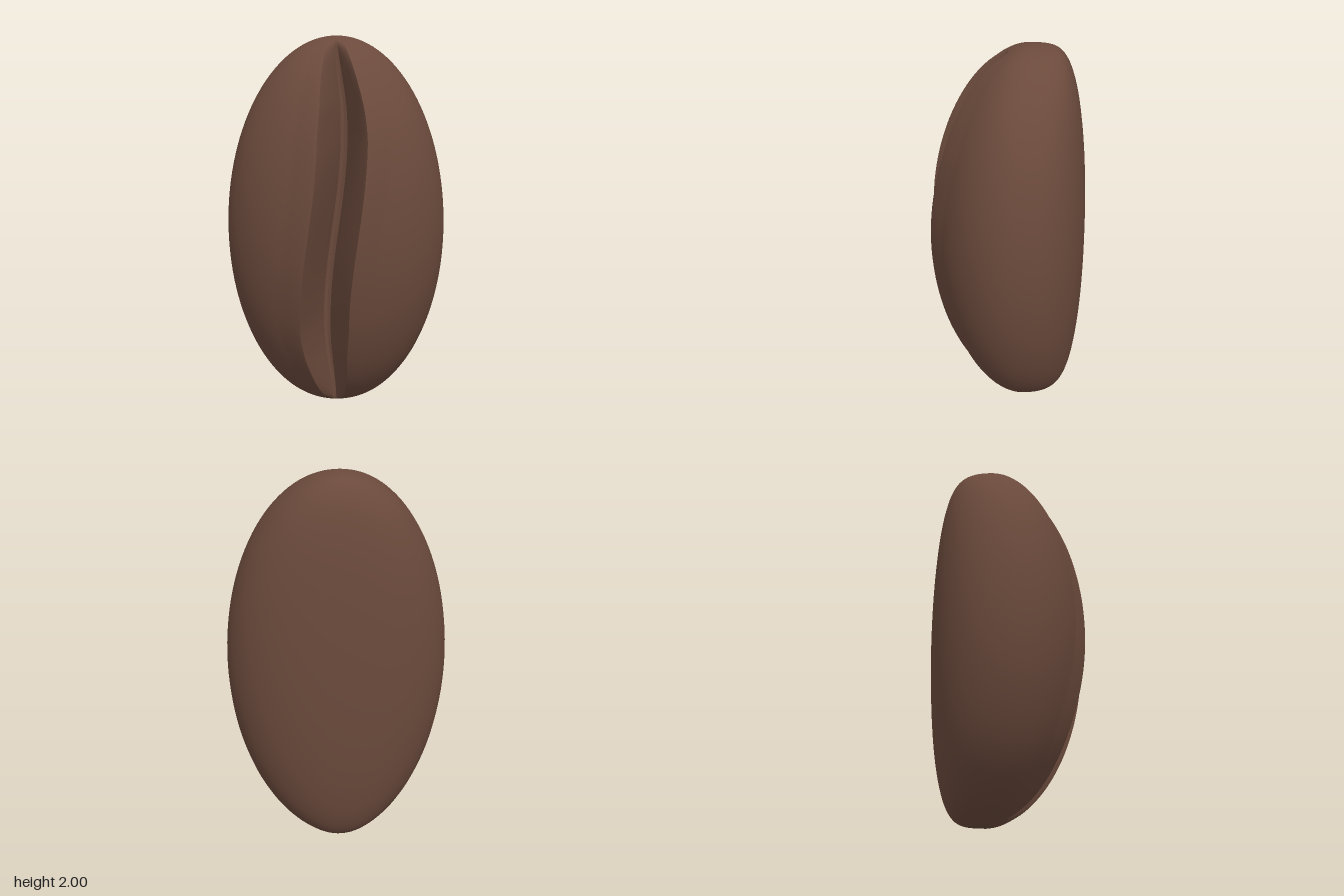
import * as THREE from 'three';
import { toCreasedNormals } from 'three/addons/utils/BufferGeometryUtils.js';

const ROWS = 64, SIDE = 14, BACK = 14;

// Groove and lip: [half width, height from floor (0) to lip (1)]
const GROOVE = [[0.018, 0.02], [0.04, 0.28], [0.08, 0.62], [0.11, 0.9], [0.125, 1], [0.15, 1]];

// One half of the horizontal section at height y, from groove floor to back
function halfSection(y, sign) {
  const s = Math.sqrt(Math.max(0, 1 - (y - 1) ** 2));
  const X = 0.575 * s, zc = -0.12 + 0.1 * s, front = 0.4 * s;
  const back = zc + 0.12 + 0.28 * Math.sqrt(s);
  const centre = 0.045 * Math.sin(Math.PI * (y - 1)) * Math.min(1, s * 1.3);
  const width = Math.min(1, 1.15 * s);
  const surface = x => zc + front * Math.sqrt(Math.max(0, 1 - (x / (X || 1)) ** 2));
  const floor = Math.min(0.005, surface(centre));
  const depth = Math.min(1, Math.max(0, (surface(centre) - floor) / 0.38));

  const pts = [[centre, floor]];
  for (const [w, h] of GROOVE) {
    const x = centre + sign * w * width;
    const lip = surface(x) + 0.034 * depth;
    pts.push([x, floor + (lip - floor) * h]);
  }
  // Rounded flank
  const x0 = centre + sign * 0.22 * width;
  const a0 = X > 0 ? Math.asin(Math.min(1, Math.abs(x0) / X)) : 0;
  for (let i = 0; i <= SIDE; i++) {
    const a = a0 + (Math.PI / 2 - a0) * i / SIDE;
    pts.push([sign * X * Math.sin(a), zc + front * Math.cos(a)]);
  }
  // Flattened back
  const e = 2 / 2.3;
  for (let i = 1; i <= BACK; i++) {
    const a = Math.PI / 2 * i / BACK;
    const cx = i === BACK ? 0 : Math.cos(a) ** e;
    pts.push([sign * X * cx, zc - back * Math.sin(a) ** e]);
  }
  return pts;
}

function beanGeometry() {
  const positions = [], index = [];
  let n = 0;
  for (let j = 0; j <= ROWS; j++) {
    const y = 1 - Math.cos(Math.PI * j / ROWS);
    const right = halfSection(y, 1);
    const left = halfSection(y, -1).slice(1, -1).reverse();
    const ring = [...right, ...left];
    n = ring.length;
    for (const [x, z] of ring) positions.push(x, y, z);
  }
  for (let j = 0; j < ROWS; j++) {
    for (let i = 0; i < n; i++) {
      const a = j * n + i, b = j * n + (i + 1) % n;
      if (j > 0) index.push(a, b, b + n);
      if (j < ROWS - 1) index.push(a, b + n, a + n);
    }
  }
  const geo = new THREE.BufferGeometry();
  geo.setAttribute('position', new THREE.Float32BufferAttribute(positions, 3));
  geo.setIndex(index);
  return toCreasedNormals(geo, 0.6);
}

export function createModel() {
  const group = new THREE.Group();
  group.name = 'roastedBean';
  const brown = new THREE.MeshStandardMaterial({ color: 0x6b4a3c });
  brown.name = 'roasted brown';
  const bean = new THREE.Mesh(beanGeometry(), brown);
  bean.name = 'beanBody';
  group.add(bean);
  return group;
}
